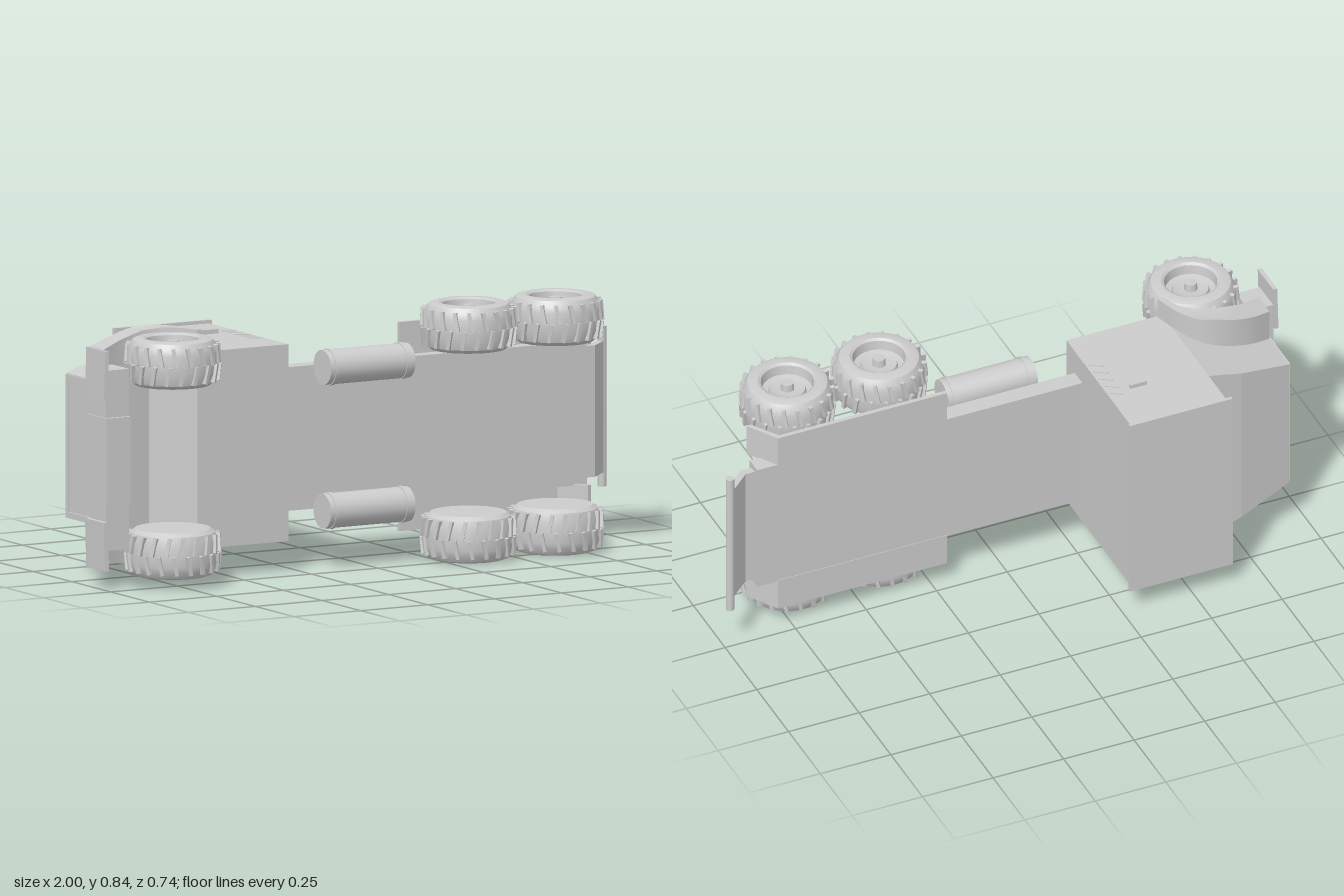
import * as THREE from 'three';
import { toCreasedNormals } from 'three/addons/utils/BufferGeometryUtils.js';

const grey = new THREE.MeshStandardMaterial({ color: 0xcccccc, side: THREE.DoubleSide });

function add(parent, name, geometry) {
  const mesh = new THREE.Mesh(geometry, grey);
  mesh.name = name;
  parent.add(mesh);
  return mesh;
}

// Box from min/max limits on each axis
function box(parent, name, x0, x1, y0, y1, z0, z1) {
  const mesh = add(parent, name, new THREE.BoxGeometry(x1 - x0, y1 - y0, z1 - z0));
  mesh.position.set((x0 + x1) / 2, (y0 + y1) / 2, (z0 + z1) / 2);
  return mesh;
}

// Side profile extruded across the truck; near(x) and far(x) give the lateral limits
function slab(parent, name, points, near, far, curved = false) {
  const pts = points.map(p => new THREE.Vector2(...p));
  const g = new THREE.ExtrudeGeometry(new THREE.Shape(pts), { depth: 1, bevelEnabled: false });
  const pos = g.attributes.position;
  for (let i = 0; i < pos.count; i++) {
    const x = pos.getX(i), t = pos.getZ(i);
    pos.setZ(i, near(x) * (1 - t) + far(x) * t);
  }
  g.computeVertexNormals();
  return add(parent, name, curved ? toCreasedNormals(g, 0.6) : g);
}

function lathe(profile, segments) {
  const g = new THREE.LatheGeometry(profile.map(p => new THREE.Vector2(...p)), segments);
  return toCreasedNormals(g.rotateX(Math.PI / 2), 0.5);
}

// Wheel with its axis on z; the hub faces +z
function makeWheel(name) {
  const wheel = new THREE.Group();
  wheel.name = name;
  add(wheel, 'tyre', lathe([[0, 0], [0.122, 0], [0.138, 0.012], [0.147, 0.04], [0.148, 0.11],
    [0.142, 0.13], [0.13, 0.148], [0.115, 0.153], [0.095, 0.153], [0.086, 0.147]], 40));
  add(wheel, 'rim', lathe([[0.086, 0.147], [0.082, 0.115], [0.062, 0.11], [0.058, 0.122],
    [0.045, 0.118], [0.022, 0.118], [0.02, 0.143], [0, 0.143]], 32));
  // Two staggered rows of slanted tread lugs
  const lug = new THREE.BoxGeometry(0.012, 0.02, 0.062);
  const count = 20;
  for (let i = 0; i < count * 2; i++) {
    const outer = i % 2;
    const a = i * Math.PI / count;
    const holder = new THREE.Group();
    holder.name = 'treadRow';
    holder.rotation.z = a;
    const m = add(holder, 'treadLug', lug);
    m.position.set(0, 0.146, outer ? 0.105 : 0.045);
    m.rotation.y = outer ? 0.2 : -0.2;
    m.rotation.x = outer ? 0.08 : -0.08;
    wheel.add(holder);
  }
  return wheel;
}

export function createModel() {
  const model = new THREE.Group();
  model.name = 'truck';
  // Built upright with the nose at -x, then laid on its side
  const truck = new THREE.Group();
  truck.name = 'truckBody';
  truck.rotation.x = -Math.PI / 2;
  truck.position.y = 0.42;
  model.add(truck);

  // Cab, roof and chassis
  box(truck, 'cab', -0.62, -0.28, -0.155, 0.357, -0.322, 0.322);
  box(truck, 'roof', -0.635, -0.27, 0.355, 0.367, -0.333, 0.333);
  box(truck, 'chassis', -0.285, 0.873, -0.09, -0.03, -0.235, 0.235);

  // Hood narrowing towards the nose
  const hoodHalf = x => 0.322 - 0.085 * Math.min(1, Math.max(0, (-0.62 - x) / 0.31));
  slab(truck, 'hood', [[-0.93, -0.085], [-0.74, -0.05], [-0.62, -0.155], [-0.62, 0.21],
    [-0.74, 0.2], [-0.93, 0.155]], x => -hoodHalf(x), hoodHalf);

  // Grille frame
  for (const s of [-1, 1])
    box(truck, 'grilleSide', -0.936, -0.928, -0.08, 0.15, s * 0.225 - 0.01, s * 0.225 + 0.01);
  for (const y of [-0.08, 0.135])
    box(truck, 'grilleBar', -0.936, -0.928, y, y + 0.015, -0.22, 0.22);

  // Bumper
  box(truck, 'bumperCentre', -0.99, -0.9, -0.208, -0.085, -0.14, 0.14);
  box(truck, 'bumper', -0.985, -0.9, -0.195, -0.09, -0.295, 0.295);

  // Tail plate with cross bar
  slab(truck, 'tailPlate', [[0.87, -0.075], [0.912, -0.075], [0.99, 0.0], [0.978, 0.015],
    [0.905, -0.05], [0.87, -0.05]], () => -0.215, () => 0.215);
  const bar = add(truck, 'tailBar', new THREE.CylinderGeometry(0.014, 0.014, 0.525, 16));
  bar.rotation.x = Math.PI / 2;
  bar.position.set(0.986, 0.008, 0);

  // Front fender arch, outer edge then inner edge
  const arch = new THREE.CatmullRomCurve3([[-0.93, 0], [-0.85, 0.03], [-0.755, 0.037],
    [-0.68, 0.01], [-0.63, -0.06], [-0.6, -0.15]].map(p => new THREE.Vector3(...p, 0)));
  const archTop = arch.getPoints(20).map(p => [p.x, p.y]);
  const archProfile = [...archTop, [-0.62, -0.15], [-0.645, -0.09], [-0.69, -0.05],
    [-0.76, -0.035], [-0.85, -0.05], [-0.93, -0.085]];
  const flare = x => 0.345 + 0.05 * Math.min(1, (x + 0.93) / 0.2);

  for (const s of [-1, 1]) {
    const side = s > 0 ? 'left' : 'right';
    slab(truck, side + 'FrontFender', archProfile, x => s > 0 ? 0.2 : -flare(x),
      x => s > 0 ? flare(x) : -0.2, true);

    // Bumper end plate
    const end = box(truck, side + 'BumperEnd', -0.998, -0.984, -0.208, -0.085,
      s * 0.28 - 0.08, s * 0.28 + 0.08);
    end.rotation.y = s * 0.03;

    // Wheels
    for (const [name, x, z] of [['FrontWheel', -0.745, 0.235], ['MiddleWheel', 0.36, 0.267],
      ['RearWheel', 0.685, 0.267]]) {
      const wheel = makeWheel(side + name);
      wheel.position.set(x, -0.21, s * z);
      if (s < 0) wheel.rotation.y = Math.PI;
      truck.add(wheel);
    }

    // Rear mudguard with sloping flap
    slab(truck, side + 'RearMudguard', [[0.2, -0.028], [0.8, -0.028], [0.865, -0.13],
      [0.85, -0.135], [0.79, -0.043], [0.2, -0.043]],
    () => s > 0 ? 0.23 : -0.342, () => s > 0 ? 0.342 : -0.23);

    // Air tank with bands
    const tank = new THREE.Group();
    tank.name = side + 'AirTank';
    tank.position.set(0.007, -0.15, s * 0.235);
    tank.rotation.z = Math.PI / 2;
    truck.add(tank);
    add(tank, 'tankShell', new THREE.CylinderGeometry(0.057, 0.057, 0.316, 32));
    for (const y of [-0.133, 0.133])
      add(tank, 'tankBand', new THREE.CylinderGeometry(0.06, 0.06, 0.014, 32)).position.y = y;

    // Door handle and louvred side vent
    box(truck, side + 'DoorHandle', -0.42, -0.36, 0.158, 0.17, s * 0.327 - 0.009, s * 0.327 + 0.009);
    for (let i = 0; i < 5; i++) {
      const slat = box(truck, side + 'VentSlat', -0.335, -0.285, 0.005 + i * 0.042, 0.011 + i * 0.042,
        s * 0.322 - 0.003, s * 0.322 + 0.003);
      slat.rotation.z = -0.6;
    }
  }
  return model;
}
